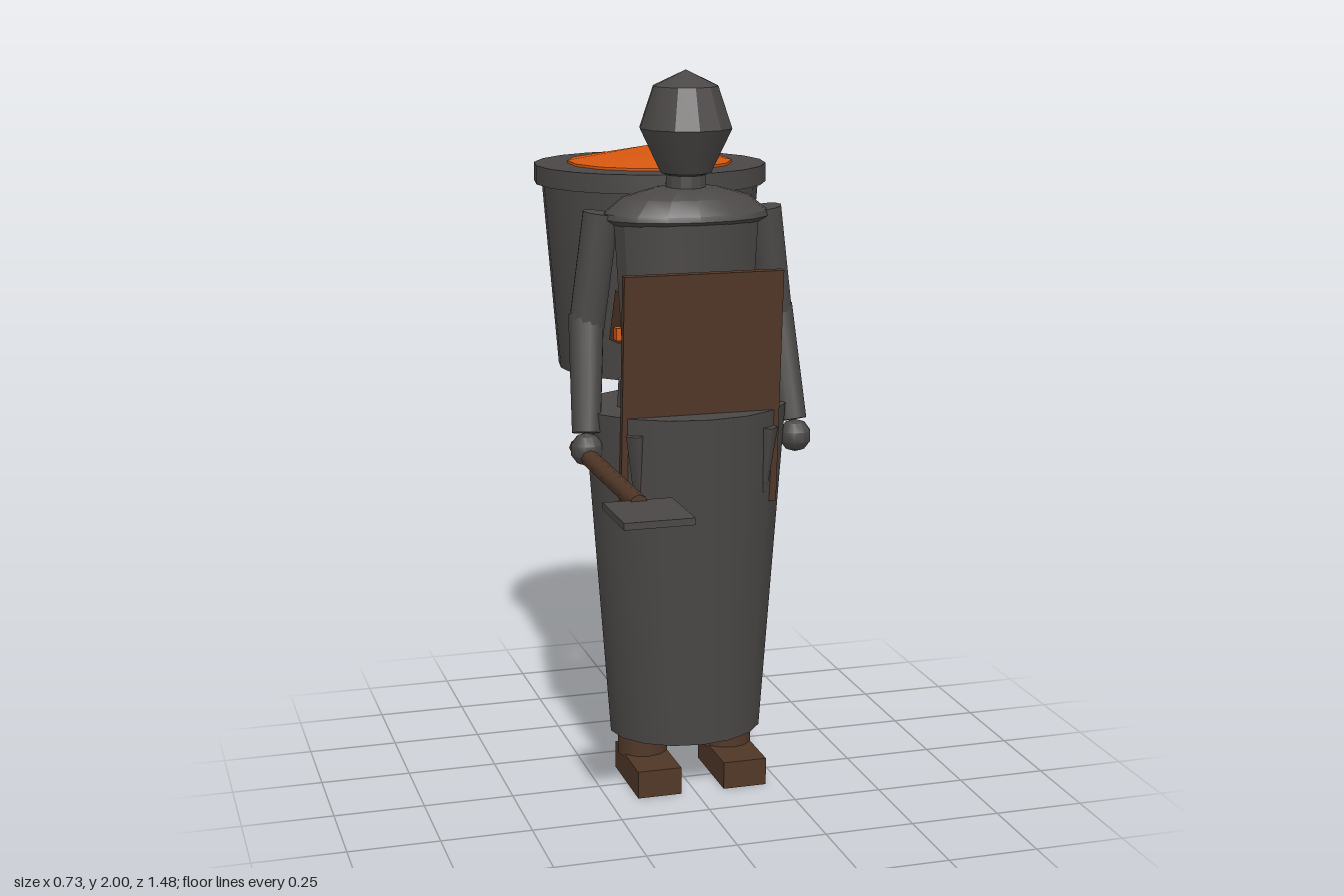
import * as THREE from 'three';
import { toCreasedNormals } from 'three/addons/utils/BufferGeometryUtils.js';

export function createModel() {
  const model = new THREE.Group();
  model.name = 'basketCarrier';

  const mat = (name, color) => {
    const m = new THREE.MeshStandardMaterial({ color });
    m.name = name;
    return m;
  };
  const cloth = mat('charcoal cloth', 0x4a4746);
  const leather = mat('brown leather', 0x503727);
  const ember = mat('ember orange', 0xd6570f);

  const CX = 0.02; // body midline
  const CZ = -0.05; // body depth centre

  const add = (name, geometry, material, x = 0, y = 0, z = 0) => {
    const mesh = new THREE.Mesh(geometry, material);
    mesh.name = name;
    mesh.position.set(x, y, z);
    model.add(mesh);
    return mesh;
  };
  // Round part from a bottom-to-top profile, squashed in depth
  const lathe = (name, profile, material, sides, z, depth = 1) => {
    const pts = profile.map(([r, y]) => new THREE.Vector2(r, y));
    const g = new THREE.LatheGeometry(pts, sides);
    g.scale(1, 1, depth);
    return add(name, toCreasedNormals(g, 0.5), material, CX, 0, z);
  };
  // Tapered rod between two points
  const rod = (name, a, b, ra, rb, material, sides = 12) => {
    const from = new THREE.Vector3(...a), to = new THREE.Vector3(...b);
    const dir = to.clone().sub(from);
    const g = new THREE.CylinderGeometry(rb, ra, dir.length(), sides);
    const mesh = add(name, g, material);
    mesh.position.copy(from).add(to).multiplyScalar(0.5);
    mesh.quaternion.setFromUnitVectors(new THREE.Vector3(0, 1, 0), dir.normalize());
    return mesh;
  };

  // Long skirt, waist, torso, shoulder yoke, neck and head
  lathe('skirt', [[0, 0.14], [0.218, 0.14], [0.287, 1.085], [0, 1.085]], cloth, 16, -0.062, 0.84);
  lathe('waist', [[0, 1.06], [0.195, 1.06], [0.19, 1.155], [0, 1.155]], cloth, 16, -0.06, 0.71);
  lathe('torso', [[0, 1.1], [0.175, 1.1], [0.205, 1.6], [0, 1.6]], cloth, 16, -0.04, 0.62);
  lathe('shoulderYoke', [[0, 1.59], [0.21, 1.59], [0.235, 1.605], [0.23, 1.62],
    [0.18, 1.66], [0.09, 1.685], [0, 1.69]], cloth, 16, CZ, 0.62);
  lathe('neck', [[0.057, 1.66], [0.053, 1.76]], cloth, 12, CZ);
  lathe('head', [[0, 1.7], [0.07, 1.725], [0.128, 1.845], [0.09, 1.957], [0, 2]], cloth, 12, CZ, 1.05);

  // Arms, legs and boots, mirrored about the midline
  for (const s of [-1, 1]) {
    const side = s > 0 ? 'left' : 'right';
    const at = (x, y, z) => [CX + s * x, y, z];
    rod(side + 'UpperArm', at(0.232, 1.62, -0.075), at(0.272, 1.31, -0.085), 0.05, 0.05, cloth);
    rod(side + 'Forearm', at(0.272, 1.34, -0.09), at(0.297, 1.03, 0), 0.05, 0.04, cloth);
    add(side + 'Hand', toCreasedNormals(new THREE.SphereGeometry(0.046, 10, 5), 0.7),
      cloth, ...at(0.3, 0.988, 0.015));
    rod(side + 'Leg', at(0.125, 0.07, -0.062), at(0.125, 0.4, -0.062), 0.073, 0.066, leather);
    add(side + 'Boot', new THREE.BoxGeometry(0.125, 0.078, 0.25), leather, ...at(0.125, 0.039, -0.006));

    // Carrying strap and its glowing buckle
    rod(side + 'Strap', at(0.16, 1.4, -0.11), at(0.16, 1.25, -0.18), 0.024, 0.024, leather, 4);
    add(side + 'Buckle', new THREE.BoxGeometry(0.02, 0.035, 0.03), ember, ...at(0.178, 1.28, -0.1));

    // Pleats, wide at the top and running out down the skirt
    rod(side + 'FrontPleat', at(0.168, 0.72, 0.085), at(0.187, 1.04, 0.105), 0.002, 0.03, cloth, 5);
    rod(side + 'BackPleat', at(0.172, 0.65, -0.21), at(0.187, 1.04, -0.235), 0.002, 0.03, cloth, 5);
  }

  // Stiff leather apron, leaning forward
  const apron = add('apron', new THREE.BoxGeometry(0.445, 0.655, 0.022), leather, CX, 1.148, 0.096);
  apron.rotation.x = 0.078;

  // Basket on the back with rim and glowing load
  const BZ = -0.412;
  lathe('basket', [[0, 1.13], [0.268, 1.13], [0.312, 1.68], [0, 1.68]], cloth, 20, BZ);
  lathe('basketRim', [[0, 1.662], [0.332, 1.662], [0.332, 1.715], [0, 1.715]], cloth, 20, BZ);
  lathe('embers', [[0.236, 1.71], [0.236, 1.722], [0, 1.765]], ember, 14, BZ);

  // Shovel held forward in the right hand
  rod('shovelHandle', [-0.28, 0.97, -0.09], [-0.28, 0.97, 0.55], 0.024, 0.024, leather, 8);
  add('shovelBlade', new THREE.BoxGeometry(0.18, 0.018, 0.205), cloth, -0.28, 0.968, 0.638);

  return model;
}
